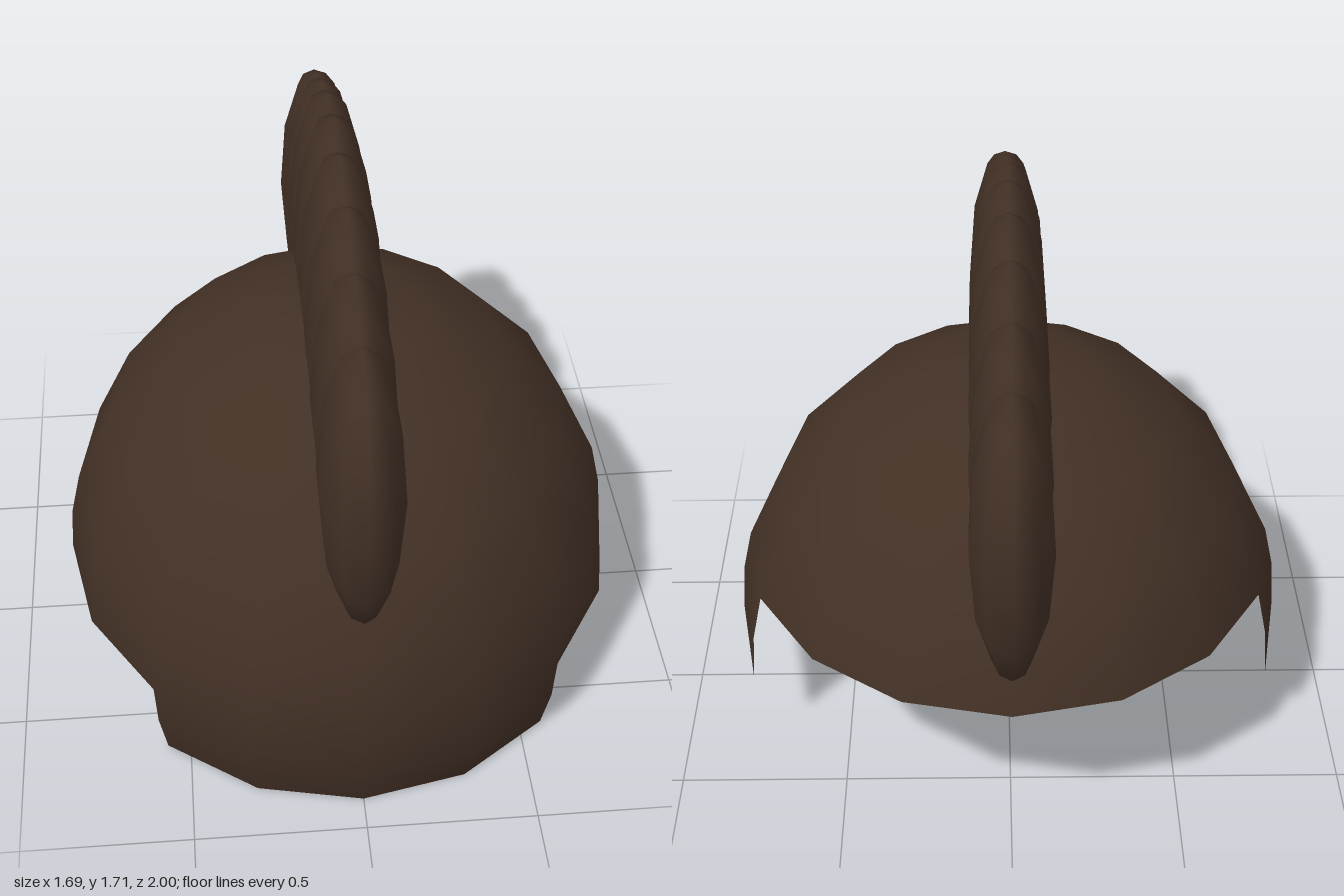
import * as THREE from 'three';

export function createModel() {
  const group = new THREE.Group();
  const brown = new THREE.MeshStandardMaterial({ color: 0x423025, side: THREE.DoubleSide });
  brown.name = 'darkBrown';

  // Helmet shell: bands of one ellipsoid, 16 sectors around and 10 rings pole to pole
  const sector = Math.PI / 8, ring = Math.PI / 10;
  function shellBand(name, firstSector, sectors, firstRing, rings) {
    const geometry = new THREE.SphereGeometry(1, sectors, rings,
      firstSector * sector, sectors * sector, firstRing * ring, rings * ring);
    geometry.scale(0.845, 0.905, 0.922);
    const mesh = new THREE.Mesh(geometry, brown);
    mesh.name = name;
    mesh.position.set(0, 0.285, 0.015);
    group.add(mesh);
  }
  shellBand('dome', 0, 16, 0, 4);
  shellBand('sideBand', -1, 10, 4, 1); // open at the back
  shellBand('frontGuard', 2, 4, 5, 1); // only across the front

  // Crest: a row of overlapping flattened lobes, mirrored front to back
  const lobe = new THREE.SphereGeometry(1, 10, 6);
  lobe.rotateY(Math.PI / 2);
  lobe.scale(0.121, 0.445, 0.27);
  const crest = new THREE.Group();
  crest.name = 'crest';
  group.add(crest);
  for (const [z, y] of [[0.105, 1.275], [0.313, 1.237], [0.521, 1.165], [0.73, 1.08]]) {
    for (const side of [1, -1]) {
      const mesh = new THREE.Mesh(lobe, brown);
      mesh.name = 'crestLobe';
      mesh.position.set(0, y, side * z);
      crest.add(mesh);
    }
  }
  return group;
}
